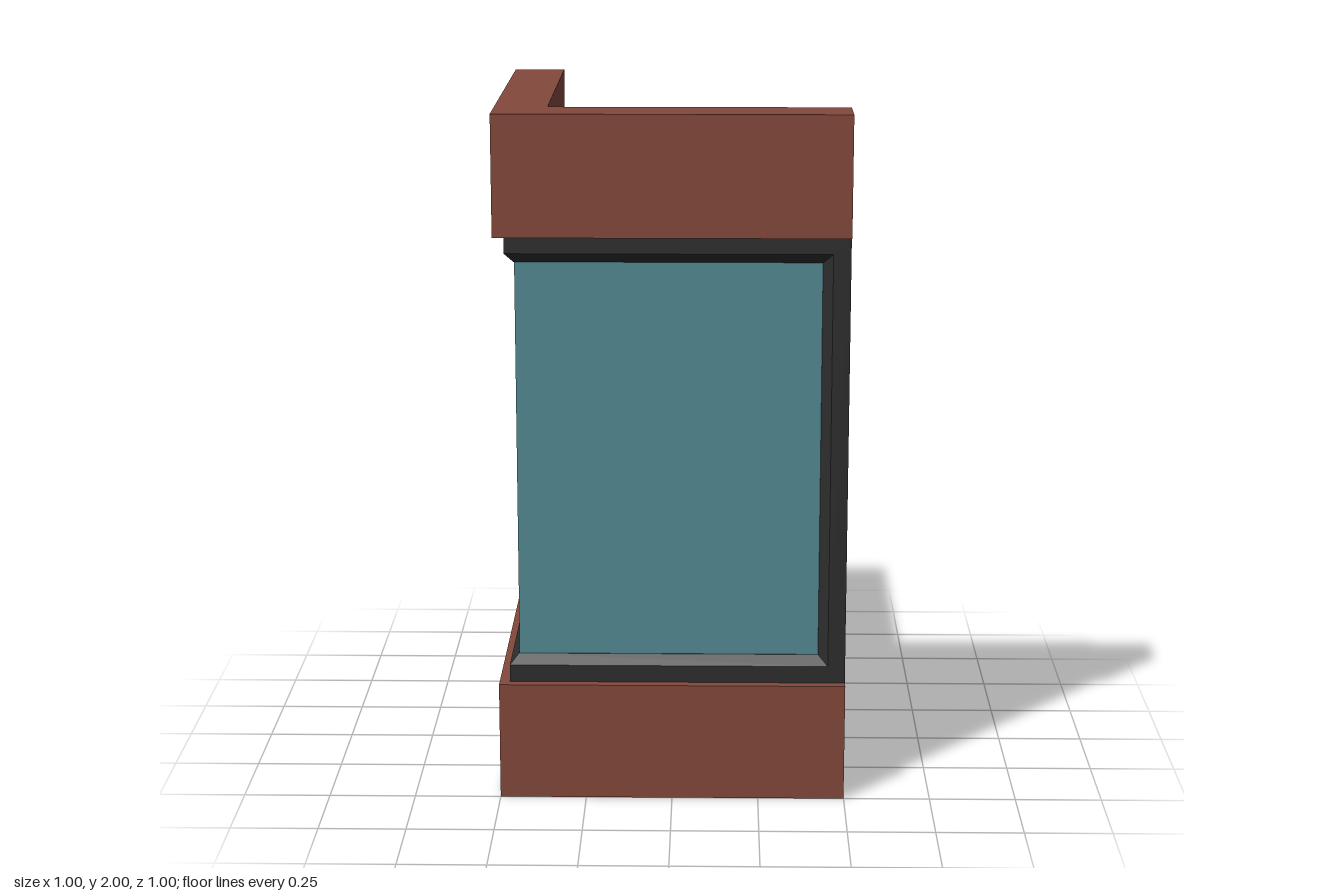
import * as THREE from 'three';

const brick = new THREE.MeshStandardMaterial({ name: 'brick red', color: 0x84483b });
const metal = new THREE.MeshStandardMaterial({ name: 'charcoal', color: 0x2d2d2d });
const teal = new THREE.MeshStandardMaterial({ name: 'glass teal', color: 0x558a94 });

const FRAME_BOTTOM = 0.345, FRAME_TOP = 1.655, END = 0.5, MID = 0.4275;

// L-shaped slab: outer and inner faces at the given distances, both wings reach `end`
function cornerSlab(name, material, outer, inner, end, y0, y1) {
  const shape = new THREE.Shape([
    [-outer, -outer], [end, -outer], [end, -inner],
    [-inner, -inner], [-inner, end], [-outer, end],
  ].map(([x, y]) => new THREE.Vector2(x, y)));
  const geometry = new THREE.ExtrudeGeometry(shape, { depth: y1 - y0, bevelEnabled: false });
  geometry.rotateX(-Math.PI / 2).translate(0, y0, 0);
  const mesh = new THREE.Mesh(geometry, material);
  mesh.name = name;
  return mesh;
}

// Bevelled frame section swept round both wings, mitred at every corner
function frameGeometry() {
  // d: distance in from the frame's outer edge, s: distance towards the outside
  const profile = [
    [0, 0.0425], [0.05, 0.0425], [0.078, 0.0175],
    [0.078, -0.0175], [0.05, -0.0425], [0, -0.0425],
  ];
  const low = (d) => FRAME_BOTTOM + d;
  const high = (d) => FRAME_TOP - d;
  const frontEnd = (y) => (d, s) => [END - d, y(d), MID + s];
  const corner = (y) => (d, s) => [-MID - s, y(d), MID + s];
  const backEnd = (y) => (d, s) => [-MID - s, y(d), -END + d];
  const stations = [
    frontEnd(low), corner(low), backEnd(low),
    backEnd(high), corner(high), frontEnd(high),
  ];

  const positions = [];
  stations.forEach((here, i) => {
    const next = stations[(i + 1) % stations.length];
    profile.forEach((p, j) => {
      const q = profile[(j + 1) % profile.length];
      const a = here(...p), b = next(...p), c = next(...q), d = here(...q);
      positions.push(...a, ...d, ...c, ...a, ...c, ...b);
    });
  });
  const geometry = new THREE.BufferGeometry();
  geometry.setAttribute('position', new THREE.Float32BufferAttribute(positions, 3));
  geometry.computeVertexNormals();
  return geometry;
}

export function createModel() {
  const group = new THREE.Group();
  group.name = 'cornerWindow';

  // Wall below and above the window
  group.add(cornerSlab('lowerWall', brick, 0.5, 0.35, END, 0, FRAME_BOTTOM));
  group.add(cornerSlab('upperWall', brick, 0.5, 0.35, END, FRAME_TOP, 2));

  // Rails and end posts
  const frame = new THREE.Mesh(frameGeometry(), metal);
  frame.name = 'windowFrame';
  group.add(frame);

  // Panes meeting at the corner without a post
  group.add(cornerSlab('glass', teal, 0.443, 0.412, END - 0.07, FRAME_BOTTOM + 0.07, FRAME_TOP - 0.07));

  return group;
}
